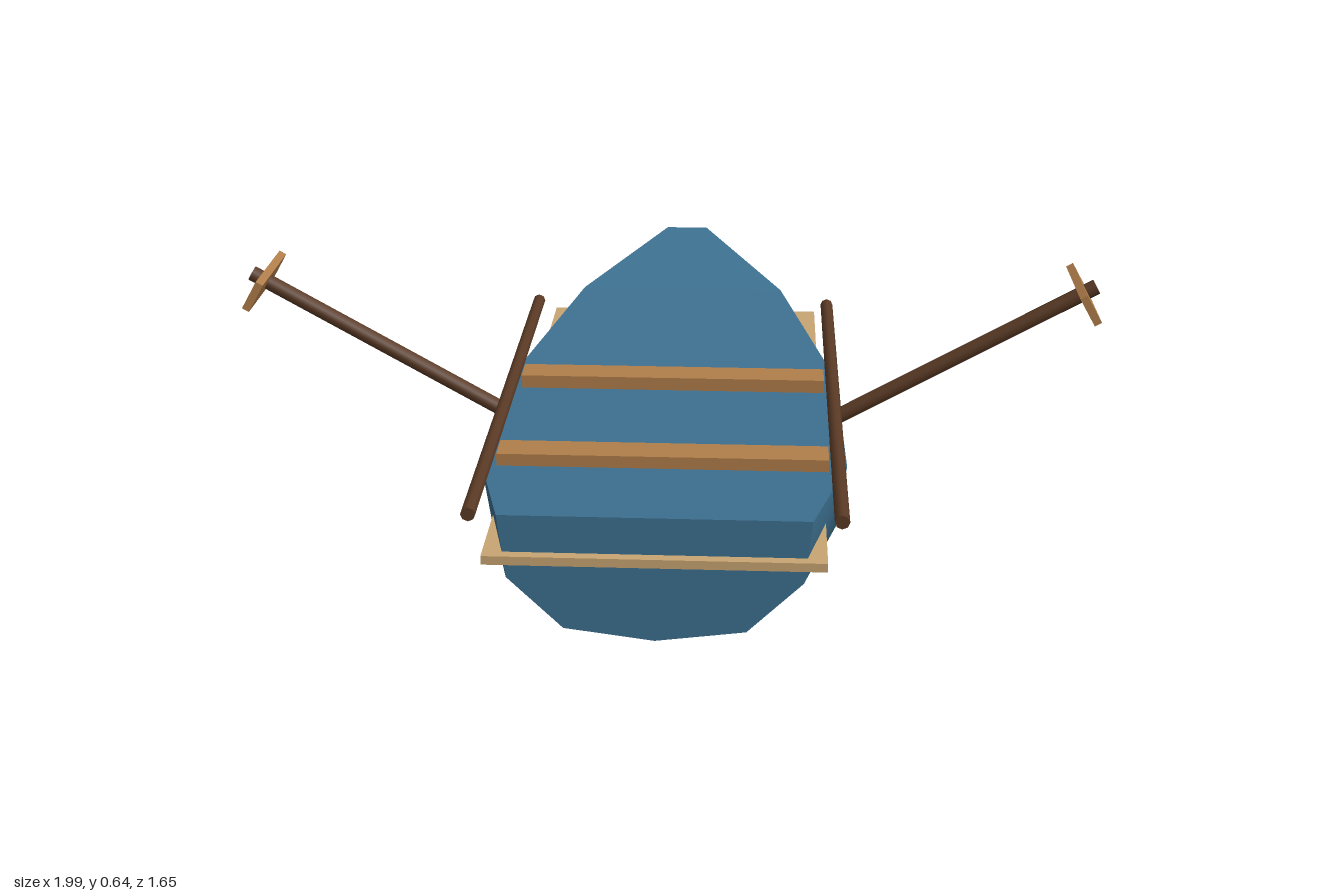
import * as THREE from 'three';

const mat = (color) => new THREE.MeshStandardMaterial({ color });
const HULL = mat(0x3d7090), SEAT = mat(0xb07d4a), DARK = mat(0x5a3a25), PLANK = mat(0xc8a572);

// Hull stations from stern to bow: z, half width, keel height, gunwale height
const STATIONS = [
  [0.8, 0.33, 0.04, 0.33],
  [0.46, 0.412, 0.003, 0.3],
  [-0.06, 0.402, 0.003, 0.3],
  [-0.53, 0.265, 0.07, 0.365],
  [-0.83, 0.055, 0.2, 0.443],
];
// Half section, gunwale to keel: fraction of width, fraction of height
const HALF = [[1, 1], [0.95, 0.5], [0.59, 0.09], [0, 0]];
const SECTION = [...HALF, ...HALF.slice(0, 3).reverse().map(([x, y]) => [-x, y])];

function add(parent, name, geometry, material, x = 0, y = 0, z = 0) {
  const mesh = new THREE.Mesh(geometry, material);
  mesh.name = name;
  mesh.position.set(x, y, z);
  parent.add(mesh);
  return mesh;
}

function buildHull() {
  const hull = new THREE.Group();
  hull.name = 'hull';
  const rings = STATIONS.map(([z, w, lo, hi]) =>
    SECTION.map(([fx, fy]) => new THREE.Vector3(fx * w, lo + fy * (hi - lo), z)));
  const n = SECTION.length, last = rings.length - 1;

  // Smooth planking around the sides and keel
  const skin = new THREE.BufferGeometry().setFromPoints(rings.flat());
  const index = [];
  for (let i = 0; i < last; i++) {
    for (let j = 0; j < n - 1; j++) {
      const a = i * n + j, c = a + n;
      index.push(a, a + 1, c, a + 1, c + 1, c);
    }
  }
  skin.setIndex(index);
  skin.computeVertexNormals();
  add(hull, 'hullSides', skin, HULL);

  // Flat-shaded deck, transom and bow plate
  const flat = (name, points) => {
    const g = new THREE.BufferGeometry().setFromPoints(points);
    g.computeVertexNormals();
    add(hull, name, g, HULL);
  };
  const deck = [], transom = [], bow = [];
  for (let i = 0; i < last; i++) {
    const l = rings[i][0], r = rings[i][n - 1], l2 = rings[i + 1][0], r2 = rings[i + 1][n - 1];
    deck.push(l, l2, r, r, l2, r2);
  }
  for (let j = 1; j < n - 1; j++) {
    transom.push(rings[0][0], rings[0][j + 1], rings[0][j]);
    bow.push(rings[last][0], rings[last][j], rings[last][j + 1]);
  }
  flat('deck', deck);
  flat('transom', transom);
  flat('bowPlate', bow);
  return hull;
}

function buildOar(side) {
  const oar = new THREE.Group();
  oar.name = side > 0 ? 'leftOar' : 'rightOar';
  // Local y runs outward along the shaft
  add(oar, 'oarShaft', new THREE.CylinderGeometry(0.018, 0.018, 0.74, 10), DARK, 0, 0.37, 0);
  add(oar, 'oarBlade', new THREE.BoxGeometry(0.075, 0.018, 0.23), SEAT, 0, 0.706, 0.005);
  oar.position.set(side * 0.348, 0.25, 0.13);
  oar.rotation.z = -side * Math.PI / 3;
  return oar;
}

export function createModel() {
  const boat = new THREE.Group();
  boat.name = 'rowingBoat';
  boat.add(buildHull());

  // Floor board running through the hull
  add(boat, 'floorBoard', new THREE.BoxGeometry(0.724, 0.02, 1.515), PLANK, 0, 0.235, 0.065);

  // Bench seats
  for (const z of [-0.005, 0.46]) {
    add(boat, 'seat', new THREE.BoxGeometry(0.74, 0.036, 0.076), SEAT, 0, 0.314, z);
  }

  // Gunwale rails and oars, mirrored
  for (const side of [1, -1]) {
    const rail = add(boat, side > 0 ? 'leftRail' : 'rightRail',
      new THREE.CylinderGeometry(0.016, 0.016, 1.32, 8), DARK, side * 0.39, 0.326, 0.132);
    rail.rotation.x = Math.PI / 2;
    boat.add(buildOar(side));
  }
  return boat;
}
